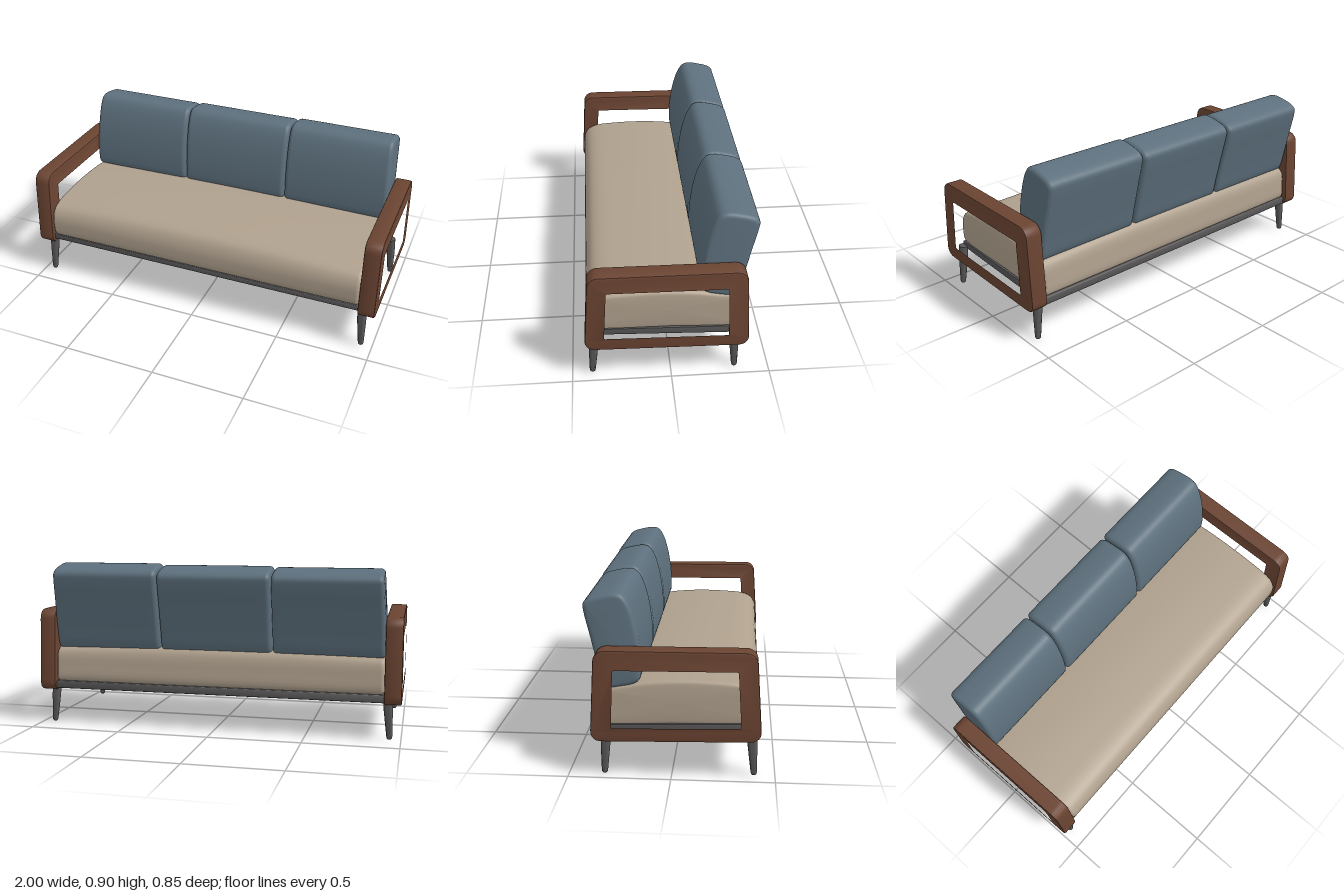
import * as THREE from 'three';
import { toCreasedNormals } from 'three/addons/utils/BufferGeometryUtils.js';

const mat = (name, color) => {
  const m = new THREE.MeshStandardMaterial({ color });
  m.name = name;
  return m;
};

// Closed polygon with every corner rounded by radius r
function roundedPath(path, pts, r) {
  const P = pts.map(([z, y]) => new THREE.Vector2(-z, y));
  P.forEach((p, i) => {
    const prev = P[(i + P.length - 1) % P.length];
    const next = P[(i + 1) % P.length];
    const a = p.clone().add(prev.clone().sub(p).setLength(r));
    const b = p.clone().add(next.clone().sub(p).setLength(r));
    if (i === 0) path.moveTo(a.x, a.y);
    else path.lineTo(a.x, a.y);
    const k = 0.6;
    path.bezierCurveTo(
      a.x + (p.x - a.x) * k, a.y + (p.y - a.y) * k,
      b.x + (p.x - b.x) * k, b.y + (p.y - b.y) * k, b.x, b.y);
  });
  path.closePath();
  return path;
}

// Side outline [z, y] extruded along x from x0 to x1
function extrudeSide(shape, x0, x1, bevel) {
  const g = new THREE.ExtrudeGeometry(shape, {
    depth: x1 - x0 - 2 * bevel, curveSegments: 8,
    bevelEnabled: true, bevelSize: bevel, bevelThickness: bevel, bevelOffset: -bevel, bevelSegments: 2,
  });
  g.rotateY(Math.PI / 2);
  g.translate(x0 + bevel, 0, 0);
  return toCreasedNormals(g, 0.6);
}

// Padded cushion: smooth [z, y] outline (top, front, bottom, back) lofted along x with rounded ends
function cushionGeometry(outline, x0, x1, r, rule) {
  const N = 64;
  const curve = new THREE.CatmullRomCurve3(outline.map(([z, y]) => new THREE.Vector3(0, y, z)), true);
  const ring = Array.from({ length: N }, (_, j) => {
    const p = curve.getPoint(j / N), t = curve.getTangent(j / N);
    return { z: p.z, y: p.y, nz: t.y, ny: -t.z };
  });
  const cz = ring.reduce((s, p) => s + p.z, 0) / N;
  const cy = ring.reduce((s, p) => s + p.y, 0) / N;

  // Sections: distance from the end, inset, and scale towards the middle
  const end = [[0, r, 0], [0.001, r, 0.5], [0.003, r, 0.85]];
  for (let i = 0; i <= 6; i++) {
    const a = (i / 6) * Math.PI / 2;
    end.push([0.005 + r * (1 - Math.cos(a)), r * (1 - Math.sin(a)), 1]);
  }
  const sections = end.map(([d, inset, s]) => [x0 + d, inset, s]);
  const inner = 0.005 + r;
  for (let i = 1; i < 12; i++) sections.push([x0 + inner + (x1 - x0 - 2 * inner) * i / 12, 0, 1]);
  end.slice().reverse().forEach(([d, inset, s]) => sections.push([x1 - d, inset, s]));

  const pos = [], idx = [];
  sections.forEach(([x, inset, s], i) => {
    ring.forEach((p, j) => {
      const z = cz + (p.z + p.nz * inset - cz) * s;
      const y = cy + (p.y + p.ny * inset - cy) * s;
      pos.push(...rule(x, y, z));
      if (i === sections.length - 1) return;
      const a = i * N + j, b = i * N + (j + 1) % N;
      idx.push(a, b, a + N, b, b + N, a + N);
    });
  });
  const g = new THREE.BufferGeometry();
  g.setAttribute('position', new THREE.Float32BufferAttribute(pos, 3));
  g.setIndex(idx);
  g.computeVertexNormals();
  return g;
}

export function createModel() {
  const group = new THREE.Group();
  group.name = 'sofa';
  const wood = mat('walnut wood', 0x6b4432);
  const beige = mat('beige fabric', 0xb0a18e);
  const blue = mat('blue fabric', 0x5d707d);
  const metal = mat('dark grey', 0x585656);
  const add = (name, geometry, material) => {
    const mesh = new THREE.Mesh(geometry, material);
    mesh.name = name;
    group.add(mesh);
    return mesh;
  };

  // Open wooden arm frames
  const armShape = roundedPath(new THREE.Shape(),
    [[0.432, 0.202], [0.403, 0.646], [-0.36, 0.642], [-0.387, 0.186]], 0.055);
  armShape.holes.push(roundedPath(new THREE.Path(),
    [[0.342, 0.264], [0.324, 0.56], [-0.278, 0.554], [-0.292, 0.249]], 0.016));
  add('leftArm', extrudeSide(armShape, 0.91, 1, 0.008), wood);
  add('rightArm', extrudeSide(armShape, -1, -0.91, 0.008), wood);

  // Sloping base under the seat
  const baseShape = roundedPath(new THREE.Shape(),
    [[0.405, 0.228], [0.405, 0.262], [-0.365, 0.24], [-0.365, 0.198]], 0.006);
  add('base', extrudeSide(baseShape, -0.915, 0.915, 0.003), metal);

  // Seat cushion, crowned across its width
  const seatOutline = [
    [0.05, 0.47], [0.22, 0.466], [0.33, 0.455], [0.385, 0.43], [0.412, 0.385], [0.416, 0.32], [0.408, 0.272],
    [0.385, 0.256], [0, 0.246], [-0.34, 0.238],
    [-0.362, 0.255], [-0.362, 0.33], [-0.352, 0.4], [-0.325, 0.428], [-0.25, 0.438], [-0.12, 0.459],
  ];
  add('seatCushion', cushionGeometry(seatOutline, -0.914, 0.914, 0.02, (x, y, z) => {
    const w = THREE.MathUtils.smoothstep(y, 0.36, 0.455);
    return [x, y + 0.018 * w * (1 - (x / 0.914) ** 2), z];
  }), beige);

  // Three leaning back cushions
  const backOutline = [
    [-0.265, 0.893], [-0.232, 0.882], [-0.202, 0.84], [-0.172, 0.745], [-0.154, 0.63], [-0.149, 0.53],
    [-0.155, 0.47], [-0.185, 0.446], [-0.25, 0.43], [-0.31, 0.422],
    [-0.333, 0.44], [-0.358, 0.54], [-0.39, 0.68], [-0.418, 0.8], [-0.421, 0.838], [-0.4, 0.862], [-0.335, 0.883],
  ];
  [['rightBackCushion', -0.915, -0.314, -0.004], ['middleBackCushion', -0.318, 0.306, 0.001],
    ['leftBackCushion', 0.302, 0.911, 0.008]].forEach(([name, x0, x1, lift]) => {
    add(name, cushionGeometry(backOutline, x0, x1, 0.024, (x, y, z) => {
      const t = THREE.MathUtils.smoothstep(y, 0.5, 0.9);
      const lean = Math.abs(x) > 0.5 ? 0.012 * t * (Math.abs(x) - 0.5) / 0.4 : 0;
      return [x - Math.sign(x) * lean, y + lift * t, z];
    }), blue);
  });

  // Tapered, splayed legs with rounded feet
  const legLength = 0.235;
  const legProfile = [[0, 0], [0.009, 0.001], [0.0135, 0.006], [0.0155, 0.016], [0.0235, 0.15], [0.025, legLength],
    [0, legLength]].map(([r, y]) => new THREE.Vector2(r, y));
  const legGeometry = toCreasedNormals(new THREE.LatheGeometry(legProfile, 20), 0.7);
  for (const side of [1, -1]) {
    for (const [name, footY, footZ, topZ] of [['Front', 0.01, 0.398, 0.383], ['Back', 0, -0.328, -0.319]]) {
      const foot = new THREE.Vector3(side * 0.941, footY, footZ);
      const top = new THREE.Vector3(side * 0.926, footY + legLength, topZ);
      const leg = add((side > 0 ? 'left' : 'right') + name + 'Leg', legGeometry, metal);
      leg.position.copy(foot);
      leg.quaternion.setFromUnitVectors(new THREE.Vector3(0, 1, 0), top.sub(foot).normalize());
    }
  }
  return group;
}
